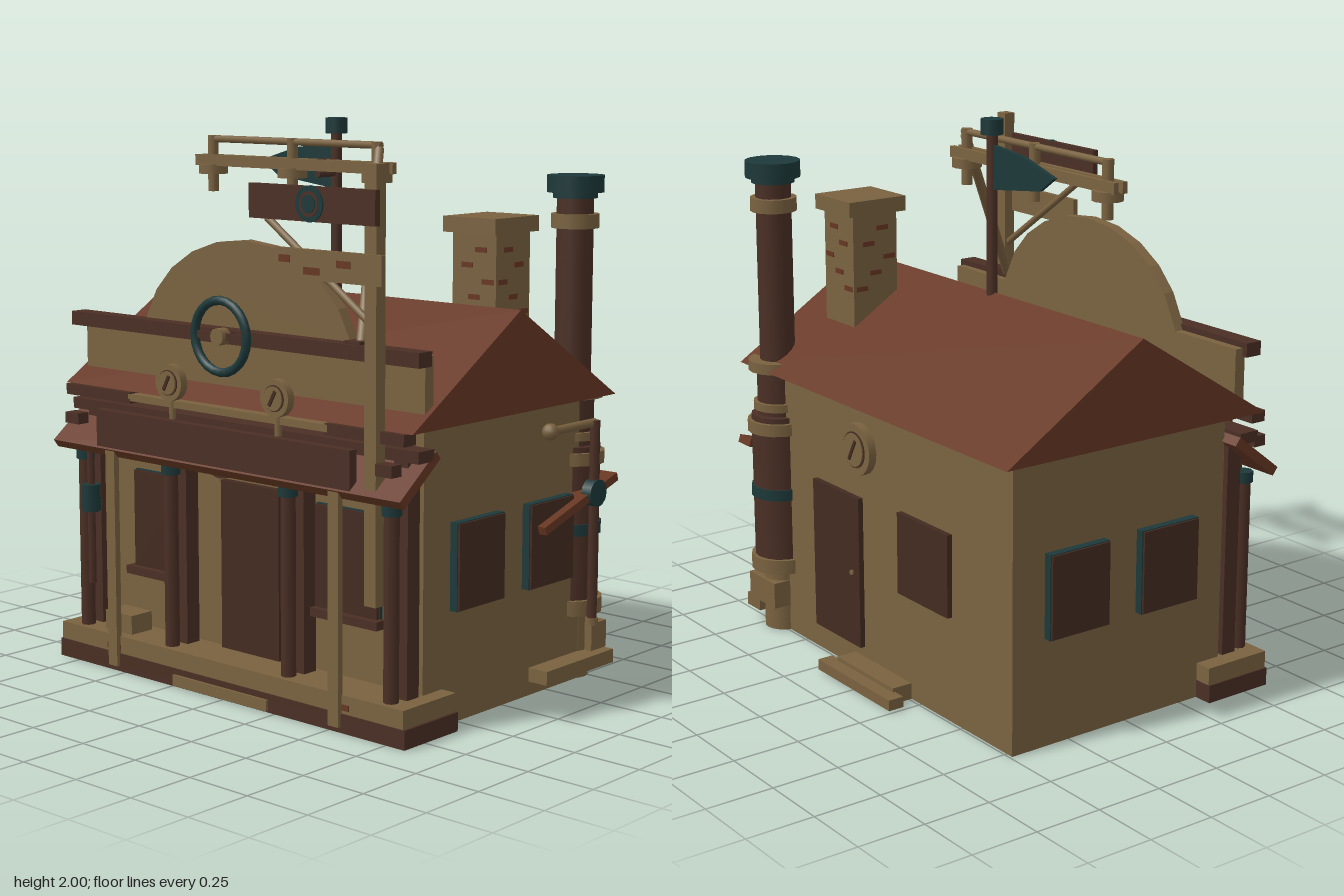
import * as THREE from 'three';

const mat = (name, color) => {
  const m = new THREE.MeshStandardMaterial({ color });
  m.name = name;
  return m;
};

export function createModel() {
  const tan = mat('weathered tan', 0x7a6240);
  const brown = mat('timber brown', 0x4a2f24);
  const dark = mat('dark timber', 0x432b21);
  const rust = mat('rust red', 0x673723);
  const teal = mat('aged teal', 0x1d3839);

  const root = new THREE.Group();
  root.name = 'workshop';

  const add = (name, geo, m, x = 0, y = 0, z = 0) => {
    const mesh = new THREE.Mesh(geo, m);
    mesh.name = name;
    mesh.position.set(x, y, z);
    root.add(mesh);
    return mesh;
  };
  // Box from its limits on each axis
  const box = (name, m, x0, x1, y0, y1, z0, z1) =>
    add(name, new THREE.BoxGeometry(x1 - x0, y1 - y0, z1 - z0), m, (x0 + x1) / 2, (y0 + y1) / 2, (z0 + z1) / 2);
  // Upright cylinder between two heights
  const post = (name, m, x, z, y0, y1, r, sides = 12) =>
    add(name, new THREE.CylinderGeometry(r, r, y1 - y0, sides), m, x, (y0 + y1) / 2, z);
  // Round rod between two points
  const rod = (name, m, a, b, r) => {
    const p = new THREE.Vector3(...a), q = new THREE.Vector3(...b), d = q.clone().sub(p);
    const mesh = add(name, new THREE.CylinderGeometry(r, r, d.length(), 8), m);
    mesh.position.copy(p).add(q).multiplyScalar(0.5);
    mesh.quaternion.setFromUnitVectors(new THREE.Vector3(0, 1, 0), d.normalize());
    return mesh;
  };
  // Disc facing along z
  const disc = (name, m, x, y, z, r, t, sides = 20) => {
    const mesh = add(name, new THREE.CylinderGeometry(r, r, t, sides), m, x, y, z);
    mesh.rotation.x = Math.PI / 2;
    return mesh;
  };
  // Flat outline extruded along z
  const plate = (name, m, pts, z0, z1) => add(name, new THREE.ExtrudeGeometry(
    new THREE.Shape(pts.map(p => new THREE.Vector2(...p))), { depth: z1 - z0, bevelEnabled: false }), m, 0, 0, z0);
  // Dial with a rim, a face and a needle
  const gauge = (x, y, z, r, dir) => {
    disc('gaugeRim', tan, x, y, z, r, 0.03);
    disc('gaugeRecess', brown, x, y, z + dir * 0.016, r * 0.7, 0.006);
    disc('gaugeFace', tan, x, y, z + dir * 0.02, r * 0.64, 0.006);
    const n = box('gaugeNeedle', dark, x - 0.006, x + 0.006, y - r * 0.45, y + r * 0.45, z + dir * 0.025 - 0.003, z + dir * 0.025 + 0.003);
    n.rotation.z = -0.5 * dir;
  };

  // Body and gable roof
  box('walls', tan, -0.78, 0.76, 0, 1.035, -0.49, 0.43);
  const roof = plate('gableRoof', rust, [[-0.56, 1.03], [0.56, 1.03], [0, 1.38]], 0, 1.66);
  roof.rotation.y = Math.PI / 2;
  roof.position.x = -0.84;

  // False front with a curved crest
  const crest = [[-0.82, 1.04], [0.80, 1.04], [0.80, 1.27], [0.49, 1.27]];
  for (let i = 1; i < 10; i++) {
    const a = Math.PI * (0.08 + 0.084 * i);
    crest.push([-0.01 + 0.5 * Math.cos(a), 1.2 + 0.395 * Math.sin(a)]);
  }
  crest.push([-0.51, 1.27], [-0.82, 1.27]);
  plate('falseFront', tan, crest, 0.433, 0.475);
  box('cornice', brown, -0.84, 0.82, 1.24, 1.29, 0.465, 0.53);

  // Deck and steps
  box('deckBase', brown, -0.85, 0.83, 0, 0.066, 0.33, 0.605);
  box('deckTop', tan, -0.845, 0.82, 0.066, 0.13, 0.33, 0.6);
  box('frontStep', tan, -0.24, 0.22, 0.005, 0.045, 0.59, 0.615);
  box('backStep', tan, -0.24, 0.22, 0.005, 0.045, -0.62, -0.56);
  box('backStepRiser', tan, -0.19, 0.17, 0, 0.06, -0.57, -0.49);
  for (const x of [-0.56, 0.55]) box('deckStain', rust, x - 0.035, x + 0.035, 0.078, 0.098, 0.598, 0.603);

  // Porch roof, beam and fascias
  const porch = box('porchRoof', rust, -0.85, 0.82, 0.86, 0.895, 0.405, 0.635);
  porch.rotation.x = 0.66;
  box('porchRail', brown, -0.84, 0.82, 0.93, 0.97, 0.45, 0.53);
  box('porchBeam', brown, -0.62, 0.60, 0.82, 0.96, 0.58, 0.615);
  disc('beamRoundel', brown, -0.01, 0.872, 0.585, 0.088, 0.03);
  box('upperLedge', tan, -0.49, 0.47, 1.0, 1.025, 0.52, 0.58);
  for (const s of [-1, 1]) {
    const c = -0.01 + s * 0.64, e = -0.01 + s * 0.75;
    box('upperBoard', brown, c - 0.17, c + 0.17, 0.99, 1.03, 0.52, 0.58);
    box('eaveBlock', brown, e - 0.035, e + 0.035, 0.89, 0.93, 0.56, 0.61);
  }

  // Porch posts
  for (const x of [-0.75, -0.3, 0.27, 0.73]) {
    post('porchColumn', brown, x, 0.555, 0.13, 0.77, 0.026, 8);
    post('columnCapital', teal, x, 0.555, 0.755, 0.795, 0.034, 8);
    box('rearPost', brown, x - 0.03, x + 0.03, 0.13, 0.93, 0.45, 0.51);
  }
  for (const x of [-0.55, 0.53]) box('frontPost', tan, x - 0.023, x + 0.023, 0.02, 0.82, 0.595, 0.618);

  // Front door, windows, lantern and crate
  box('frontDoor', dark, -0.15, 0.13, 0.13, 0.74, 0.43, 0.455);
  for (const s of [-1, 1]) {
    const c = -0.01 + s * 0.45;
    box('frontWindowFrame', teal, c - 0.143, c + 0.143, 0.36, 0.72, 0.43, 0.442);
    box('frontWindow', dark, c - 0.139, c + 0.139, 0.36, 0.717, 0.43, 0.455);
    box('frontSill', brown, c - 0.16, c + 0.16, 0.33, 0.36, 0.43, 0.48);
  }
  post('lanternHanger', brown, -0.695, 0.58, 0.3, 0.8, 0.014, 8);
  post('lantern', teal, -0.695, 0.58, 0.57, 0.67, 0.034, 8);
  box('crate', tan, -0.65, -0.51, 0.13, 0.2, 0.46, 0.56);

  // Side windows
  for (const [wall, s] of [[-0.78, -1], [0.76, 1]])
    for (const c of [0.165, -0.23]) {
      const span = d => [Math.min(wall, wall + s * d), Math.max(wall, wall + s * d)];
      box('sideWindowFrame', teal, ...span(0.03), 0.392, 0.694, c - 0.126, c + 0.126);
      box('sideWindow', dark, ...span(0.038), 0.395, 0.691, c - 0.122, c + 0.122);
    }

  // Back wall fittings
  box('backDoor', dark, 0.105, 0.405, 0.1, 0.67, -0.51, -0.49);
  disc('doorKnob', tan, 0.15, 0.38, -0.512, 0.01, 0.01, 8);
  box('backWindow', dark, -0.44, -0.14, 0.39, 0.69, -0.51, -0.49);
  gauge(0.1, 0.86, -0.51, 0.095, -1);

  // Hand wheel and front gauges
  add('handWheel', new THREE.TorusGeometry(0.124, 0.016, 8, 24), teal, -0.01, 1.275, 0.59);
  box('wheelSpoke', brown, -0.13, 0.11, 1.262, 1.288, 0.582, 0.594);
  disc('wheelHub', tan, -0.01, 1.275, 0.59, 0.03, 0.04, 12);
  rod('wheelShaft', brown, [-0.01, 1.275, 0.47], [-0.01, 1.275, 0.6], 0.014);
  for (const x of [-0.265, 0.245]) {
    gauge(x, 1.09, 0.58, 0.065, 1);
    rod('gaugeStem', tan, [x, 0.96, 0.575], [x, 1.04, 0.575], 0.012);
  }

  // Sign post with boards
  box('signPost', tan, 0.65, 0.7, 0.45, 1.885, 0.555, 0.6);
  box('upperSign', brown, 0.15, 0.705, 1.69, 1.805, 0.59, 0.612);
  box('lowerSign', tan, 0.265, 0.73, 1.5, 1.6, 0.59, 0.61);
  for (const [x, y, w] of [[0.31, 1.565, 0.05], [0.43, 1.53, 0.07], [0.57, 1.56, 0.06]])
    box('signStain', rust, x - w / 2, x + w / 2, y - 0.012, y + 0.012, 0.608, 0.613);
  disc('signDisc', teal, 0.425, 1.748, 0.611, 0.06, 0.012);
  disc('signDiscRing', brown, 0.425, 1.748, 0.615, 0.042, 0.008);
  disc('signDiscHub', teal, 0.425, 1.748, 0.618, 0.03, 0.008);
  rod('signBrace', tan, [0.2, 1.69, 0.575], [0.66, 1.37, 0.575], 0.013);

  // Brick chimney
  box('chimney', tan, 0.445, 0.635, 1.05, 1.63, -0.29, -0.1);
  box('chimneyCap', tan, 0.42, 0.65, 1.615, 1.67, -0.32, -0.075);
  for (let i = 0; i < 5; i++) {
    const y = 1.33 + i * 0.055, u = ((i * 7) % 5) * 0.03;
    for (const x of [0.444, 0.636]) box('exposedBrick', rust, x - 0.002, x + 0.002, y, y + 0.018, -0.28 + u, -0.23 + u);
    for (const z of [-0.291, -0.099]) box('exposedBrick', rust, 0.455 + u, 0.505 + u, y, y + 0.018, z - 0.002, z + 0.002);
  }

  // Stove pipe on the back corner: name, material, bottom, top, radius
  for (const [name, m, y0, y1, r] of [
    ['pipeFoot', tan, 0, 0.24, 0.075], ['boiler', brown, 0.24, 0.85, 0.105], ['boilerCollar', tan, 0.24, 0.295, 0.12],
    ['boilerBand', teal, 0.53, 0.572, 0.112], ['boilerCollar', tan, 0.785, 0.83, 0.12], ['middlePipe', brown, 0.85, 1.04, 0.08],
    ['pipeCollar', tan, 0.87, 0.9, 0.095], ['roofCollar', tan, 1.02, 1.06, 0.11], ['upperPipe', brown, 1.04, 1.75, 0.066],
    ['topCollar', tan, 1.62, 1.67, 0.086], ['capNeck', teal, 1.725, 1.75, 0.08], ['pipeCap', teal, 1.745, 1.805, 0.102],
  ]) post(name, m, 0.695, -0.472, y0, y1, r, 16);
  box('cornerBracket', tan, 0.62, 0.8, 0.1, 0.2, -0.56, -0.47);

  // Right side pipework, awning and sill
  box('sideBeam', tan, 0.75, 0.84, 0.05, 0.1, -0.55, -0.15);
  rod('feedPipe', tan, [0.81, 0.94, -0.19], [0.81, 0.94, -0.45], 0.016);
  add('pipeElbow', new THREE.SphereGeometry(0.03, 12, 8), tan, 0.81, 0.94, -0.19);
  post('downPipe', brown, 0.82, -0.44, 0.23, 0.95, 0.018, 8);
  post('downPipeFoot', tan, 0.82, -0.44, 0.21, 0.235, 0.024, 8);
  disc('valve', teal, 0.82, 0.69, -0.44, 0.05, 0.04, 12).rotation.set(0, 0, Math.PI / 2);
  box('sideAwning', rust, 0.75, 0.83, 0.65, 0.68, -0.58, -0.135).rotation.x = 0.3;

  // Weather vane
  post('vanePole', brown, -0.01, 0, 1.36, 1.96, 0.02, 10);
  post('vaneCap', teal, -0.01, 0, 1.945, 2, 0.04, 12);
  plate('vaneFlag', teal, [[-0.02, 1.75], [-0.02, 1.91], [-0.2, 1.89], [-0.37, 1.84], [-0.29, 1.785]], -0.008, 0.008);

  // Overhead line frame and its strut
  rod('upperLine', tan, [-0.56, 1.913, 0.08], [0.27, 1.913, 0.08], 0.013);
  for (const z of [0.062, 0.1]) box('lowerLine', tan, -0.615, 0.315, 1.815, 1.855, z - 0.01, z + 0.01);
  for (const x of [-0.55, -0.15, 0.25]) {
    post('lineSpindle', tan, x, 0.08, 1.72, 1.925, 0.02, 10);
    post('lineDisc', tan, x, 0.08, 1.785, 1.82, 0.055, 12);
  }
  for (const y of [1.805, 1.845]) rod('lineBracket', brown, [-0.01, y, 0], [-0.01, y, 0.1], 0.013);
  rod('lineStrut', tan, [0.26, 1.9, 0.08], [0.53, 1.28, 0.48], 0.018);
  box('strutFoot', brown, 0.49, 0.56, 1.25, 1.3, 0.46, 0.52);

  return root;
}
